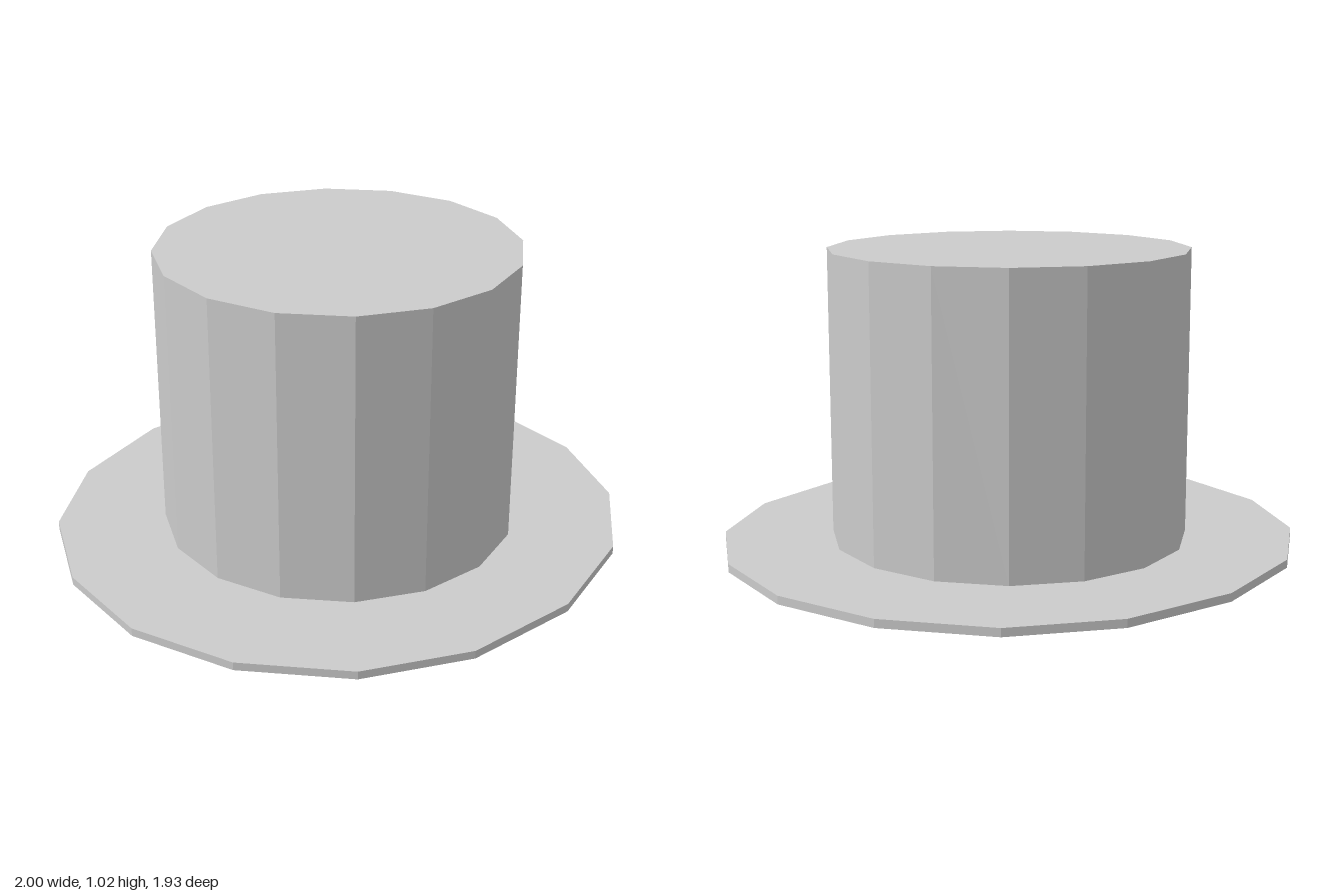
import * as THREE from 'three';

const SIDES = 16;
const OUTER = 0.617, INNER = 0.6;   // crown wall radii
const BRIM = 0.028, TOP = 1.02;     // brim thickness, overall height

export function createModel() {
  const group = new THREE.Group();
  group.name = 'topHat';
  const material = new THREE.MeshStandardMaterial({ color: 0xcccccc, flatShading: true });

  // Crown: hollow 16-sided tube, closed at the top and open below
  const profile = [
    [OUTER, BRIM], [OUTER, TOP], [0, TOP],
    [0, TOP - 0.018], [INNER, TOP - 0.018], [INNER, BRIM],
  ].map(([r, y]) => new THREE.Vector2(r, y));
  const crown = new THREE.Mesh(new THREE.LatheGeometry(profile, SIDES), material);
  crown.name = 'crown';
  group.add(crown);

  // Brim: one quarter of the slightly oval outline, mirrored to all four
  const quarter = [[1, 0], [0.925, 0.367], [0.717, 0.684], [0.402, 0.89], [0, 0.965]];
  const half = [...quarter, ...quarter.slice(0, 4).reverse().map(([x, y]) => [-x, y])];
  const outline = [...half, ...half.slice(1, -1).reverse().map(([x, y]) => [x, -y])];
  const shape = new THREE.Shape(outline.map(([x, y]) => new THREE.Vector2(x, y)));

  // Head opening through the brim
  const opening = [];
  for (let i = 0; i < SIDES; i++) {
    const a = -i / SIDES * Math.PI * 2;
    opening.push(new THREE.Vector2(INNER * Math.cos(a), INNER * Math.sin(a)));
  }
  shape.holes.push(new THREE.Path(opening));

  const brimGeometry = new THREE.ExtrudeGeometry(shape, { depth: BRIM, bevelEnabled: false });
  brimGeometry.rotateX(-Math.PI / 2);
  const brim = new THREE.Mesh(brimGeometry, material);
  brim.name = 'brim';
  group.add(brim);

  return group;
}
